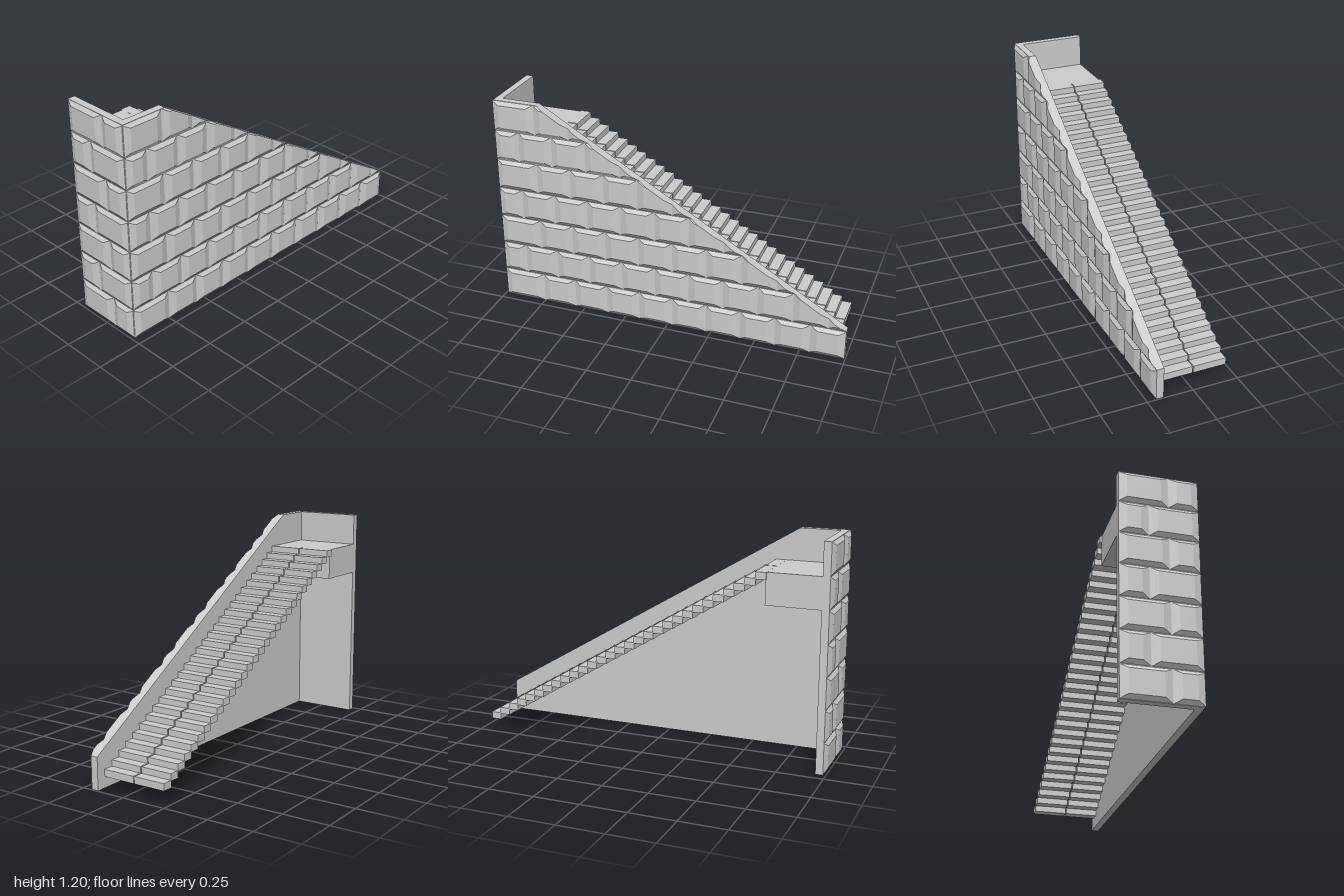
import * as THREE from 'three';

const ROWS = 7, ROW_H = 0.172, TOP = ROWS * ROW_H;
const SLOPE_A = [-0.73, TOP], SLOPE_B = [0.985, 0.18];
const BULGE = 0.015, BEVEL_X = 0.04, BEVEL_Y = 0.023;

const material = new THREE.MeshStandardMaterial({ color: 0xcccccc, flatShading: true });

// Positive below the sloping edge of the side wall
function belowSlope([x, y]) {
  const t = (x - SLOPE_A[0]) / (SLOPE_B[0] - SLOPE_A[0]);
  return SLOPE_A[1] + t * (SLOPE_B[1] - SLOPE_A[1]) - y;
}

// Cuts a polygon with the slope; returns the remaining corners
function clip(poly) {
  const out = [];
  poly.forEach((a, i) => {
    const b = poly[(i + 1) % poly.length];
    const da = belowSlope(a), db = belowSlope(b);
    if (da >= 0) out.push(a);
    if ((da > 0 && db < 0) || (da < 0 && db > 0)) {
      const t = da / (da - db);
      out.push(a.map((v, k) => v + t * (b[k] - v)));
    }
  });
  return out;
}

// Bevelled stone face lying on z = 0 and bulging to +z, cut by the slope if asked
function stone(x0, x1, y0, y1, cut) {
  const ring = (dx, dy, z) => [
    [x0 + dx, y0 + dy, z], [x1 - dx, y0 + dy, z], [x1 - dx, y1 - dy, z], [x0 + dx, y1 - dy, z],
  ];
  const outer = ring(0.002, 0.002, 0);
  const inner = ring(Math.min(BEVEL_X, (x1 - x0) / 3), BEVEL_Y, BULGE);
  const faces = [inner];
  for (let i = 0; i < 4; i++) {
    const j = (i + 1) % 4;
    faces.push([outer[i], outer[j], inner[j], inner[i]]);
  }
  const pos = [];
  const fan = (p) => {
    for (let i = 1; i < p.length - 1; i++) pos.push(...p[0], ...p[i], ...p[i + 1]);
  };
  for (const face of faces) {
    const p = cut ? clip(face) : face;
    if (p.length < 3) continue;
    fan(p);
    if (!cut) continue;
    // close the sawn side along the slope
    p.forEach((a, i) => {
      const b = p[(i + 1) % p.length];
      if (Math.abs(belowSlope(a)) < 1e-6 && Math.abs(belowSlope(b)) < 1e-6) {
        fan([b, a, [a[0], a[1], 0], [b[0], b[1], 0]]);
      }
    });
  }
  if (!pos.length) return null;
  const g = new THREE.BufferGeometry();
  g.setAttribute('position', new THREE.Float32BufferAttribute(pos, 3));
  g.computeVertexNormals();
  return g;
}

function add(parent, name, geometry) {
  const mesh = new THREE.Mesh(geometry, material);
  mesh.name = name;
  parent.add(mesh);
  return mesh;
}

// Box given by its limits
function box(parent, name, x0, x1, y0, y1, z0, z1) {
  const mesh = add(parent, name, new THREE.BoxGeometry(x1 - x0, y1 - y0, z1 - z0));
  mesh.position.set((x0 + x1) / 2, (y0 + y1) / 2, (z0 + z1) / 2);
  return mesh;
}

// Courses of stones between the joints given for each row
function masonry(name, jointsOfRow, cut) {
  const group = new THREE.Group();
  group.name = name;
  for (let r = 0; r < ROWS; r++) {
    const joints = jointsOfRow(r);
    for (let i = 0; i < joints.length - 1; i++) {
      const g = stone(joints[i], joints[i + 1], r * ROW_H, (r + 1) * ROW_H, cut);
      if (g) add(group, 'stone', g);
    }
  }
  return group;
}

export function createModel() {
  const model = new THREE.Group();
  model.name = 'stoneStaircase';

  // Side wall with sloping top
  const outline = new THREE.Shape([
    [-0.985, 0], [0.995, 0], [0.995, 0.174], SLOPE_B, SLOPE_A, [-0.985, TOP],
  ].map(([x, y]) => new THREE.Vector2(x, y)));
  const wall = add(model, 'sideWall', new THREE.ExtrudeGeometry(outline, { depth: 0.04, bevelEnabled: false }));
  wall.position.z = 0.16;

  // Stones of the side wall, joints staggered from row to row
  const sideStones = masonry('sideWallStones', (r) => {
    const joints = [-0.99];
    for (let x = r % 2 ? -0.85 : -0.75; x < 0.9; x += 0.1942) joints.push(x);
    joints.push(0.997);
    return joints;
  }, true);
  sideStones.position.z = 0.2;
  model.add(sideStones);

  // End wall behind the landing
  box(model, 'endWall', -0.985, -0.945, 0, TOP, -0.2, 0.2);
  const endStones = masonry('endWallStones', (r) => [-0.2, r % 2 ? -0.05 : 0.05, 0.205], false);
  endStones.rotation.y = -Math.PI / 2;
  endStones.position.x = -0.985;
  model.add(endStones);

  // Landing
  box(model, 'landing', -0.945, -0.655, 0.86, 1.03, -0.2, 0.16);

  // Steps, two slabs side by side
  const steps = new THREE.Group();
  steps.name = 'steps';
  const count = 29, run = 0.0553, rise = 0.0333;
  for (let i = 0; i < count; i++) {
    const x1 = 0.945 - i * run, y1 = 0.098 + i * rise;
    for (const [z0, z1] of [[-0.21, -0.029], [-0.023, 0.158]]) {
      box(steps, 'step', x1 - 0.058, x1, y1 - 0.038, y1, z0, z1);
    }
  }
  model.add(steps);

  return model;
}
